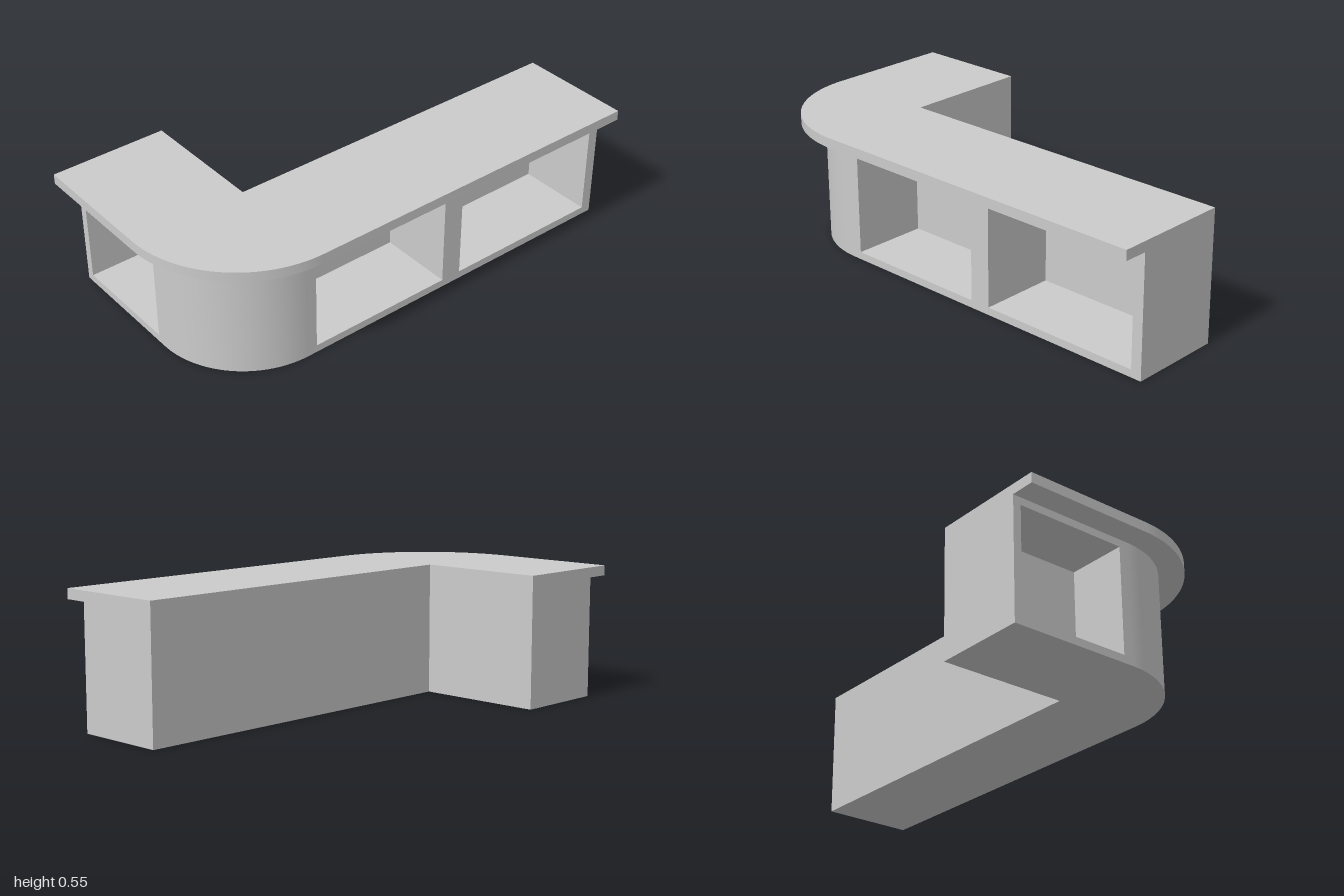
import * as THREE from 'three';
import { toCreasedNormals } from 'three/addons/utils/BufferGeometryUtils.js';

// Inner corner of the L (shape y is -z), outer ends of the two legs
const CX = 0.027, CZ = 0.51, LEFT = -0.518, BACK = -1;

// L-shaped plan with a rounded outer corner; depth is the width of the legs.
// Niches are rectangular notches cut into the front and right faces.
function plan(depth, frontNiches = [], sideNiches = []) {
  const s = new THREE.Shape();
  const front = CZ + depth, side = CX + depth;
  s.moveTo(LEFT, -front);
  for (const [x0, x1, back] of frontNiches) {
    s.lineTo(x0, -front);
    s.lineTo(x0, -back);
    s.lineTo(x1, -back);
    s.lineTo(x1, -front);
  }
  s.lineTo(CX, -front);
  s.absarc(CX, -CZ, depth, -Math.PI / 2, 0, false);
  for (const [z0, z1, back] of sideNiches) {
    s.lineTo(side, -z0);
    s.lineTo(back, -z0);
    s.lineTo(back, -z1);
    s.lineTo(side, -z1);
  }
  s.lineTo(side, -BACK);
  s.lineTo(CX, -BACK);
  s.lineTo(CX, -CZ);
  s.lineTo(LEFT, -CZ);
  s.closePath();
  return s;
}

export function createModel() {
  const group = new THREE.Group();
  const material = new THREE.MeshStandardMaterial({ color: 0xcccccc });

  // Horizontal layer of the counter between two heights
  const layer = (name, shape, y0, y1) => {
    const raw = new THREE.ExtrudeGeometry(shape, {
      depth: y1 - y0, bevelEnabled: false, curveSegments: 32,
    });
    raw.rotateX(-Math.PI / 2).translate(0, y0, 0);
    const mesh = new THREE.Mesh(toCreasedNormals(raw, 0.5), material);
    mesh.name = name;
    group.add(mesh);
  };

  // Cabinet: floor, walls around the open niches, ceiling
  const frontNiches = [[-0.484, -0.01, 0.65]];
  const sideNiches = [[0.47, -0.165, 0.095], [-0.255, -0.955, 0.095]];
  layer('cabinetFloor', plan(0.39), 0, 0.032);
  layer('cabinetWalls', plan(0.39, frontNiches, sideNiches), 0.032, 0.472);
  layer('cabinetCeiling', plan(0.39), 0.472, 0.503);

  // Overhanging worktop
  layer('countertop', plan(0.49), 0.503, 0.545);

  return group;
}
